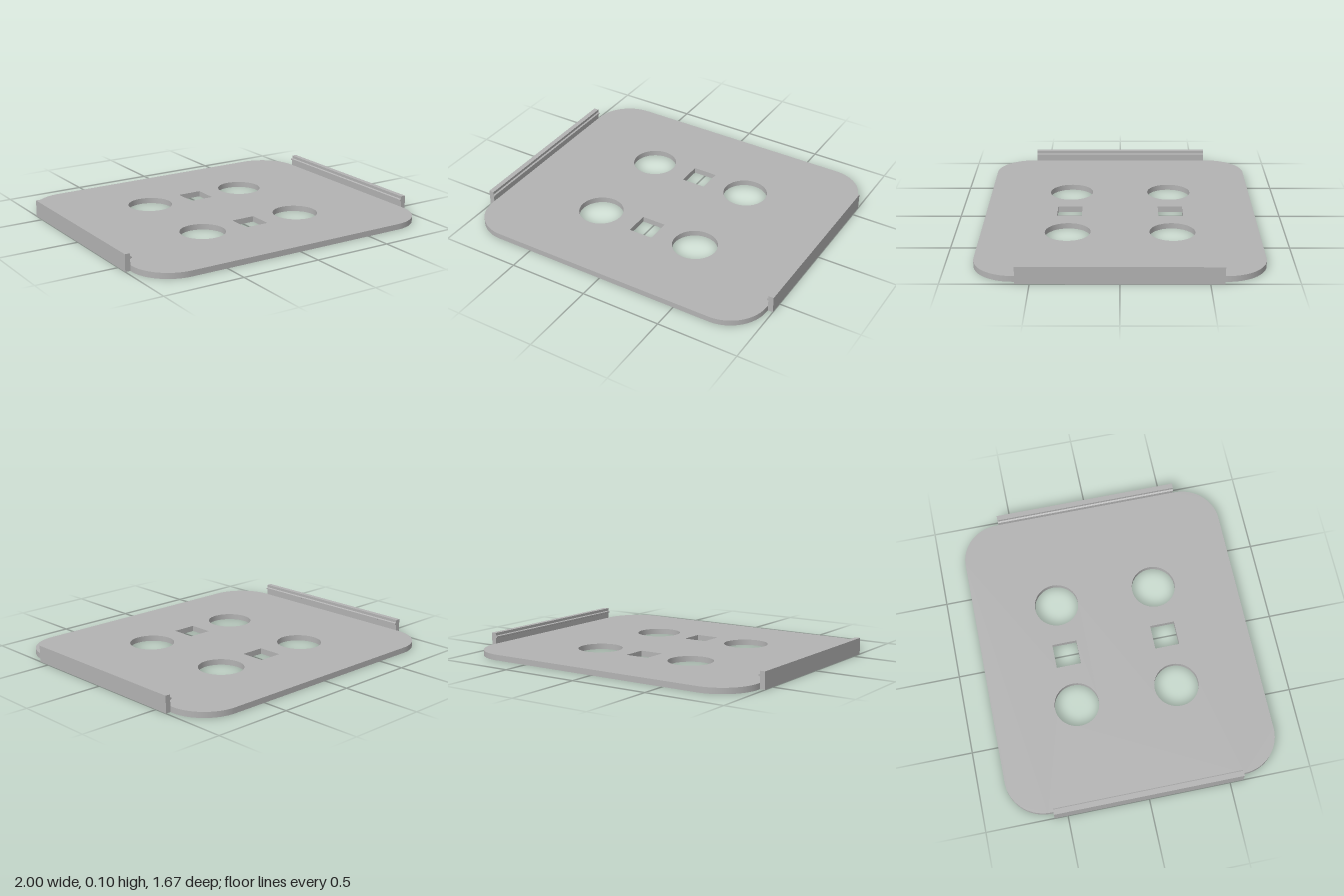
import * as THREE from 'three';
import { toCreasedNormals } from 'three/addons/utils/BufferGeometryUtils.js';

const PLATE_X = 0.968, PLATE_Z = 0.837, THICK = 0.035, CORNER = 0.24;
const RAIL_TOP = 0.103, RAIL_HALF = 0.582;

function plateShape() {
  const s = new THREE.Shape();
  const cx = PLATE_X - CORNER, cz = PLATE_Z - CORNER;
  // Rounded outline, one quarter arc per corner
  [[1, 1], [-1, 1], [-1, -1], [1, -1]].forEach(([sx, sz], i) => {
    s.absarc(sx * cx, sz * cz, CORNER, i * Math.PI / 2, (i + 1) * Math.PI / 2, false);
  });
  s.closePath();
  // Two rows of holes: round, square, round
  for (const z of [-0.315, 0.315]) {
    for (const x of [-0.337, 0.337]) {
      s.holes.push(new THREE.Path().absarc(x, z, 0.138, 0, Math.PI * 2, true));
    }
    const h = 0.077;
    s.holes.push(new THREE.Path([[-h, -h], [-h, h], [h, h], [h, -h]]
      .map(([x, dz]) => new THREE.Vector2(x, z + dz))));
  }
  return s;
}

export function createModel() {
  const model = new THREE.Group();
  model.name = 'mountingPlate';
  const metal = new THREE.MeshStandardMaterial({ color: 0xb2b2b2 });
  metal.name = 'grey metal';

  // Base plate, laid flat
  let plateGeo = new THREE.ExtrudeGeometry(plateShape(), {
    depth: THICK, bevelEnabled: false, curveSegments: 32,
  });
  plateGeo.rotateX(-Math.PI / 2);
  plateGeo = toCreasedNormals(plateGeo, 0.6);
  const plate = new THREE.Mesh(plateGeo, metal);
  plate.name = 'basePlate';
  model.add(plate);

  // Side rails with a small snap ridge along the inner face
  const profile = new THREE.Shape([
    [PLATE_X, 0], [1, 0], [1, RAIL_TOP], [PLATE_X, RAIL_TOP],
    [PLATE_X, 0.086], [0.958, 0.082], [0.958, 0.074], [PLATE_X, 0.07],
  ].map(([x, y]) => new THREE.Vector2(x, y)));
  const railGeo = new THREE.ExtrudeGeometry(profile, { depth: RAIL_HALF * 2, bevelEnabled: false });
  railGeo.translate(0, 0, -RAIL_HALF);
  for (const side of [1, -1]) {
    const rail = new THREE.Mesh(railGeo, metal);
    rail.name = side > 0 ? 'leftRail' : 'rightRail';
    if (side < 0) rail.rotation.y = Math.PI;
    model.add(rail);
  }
  return model;
}
